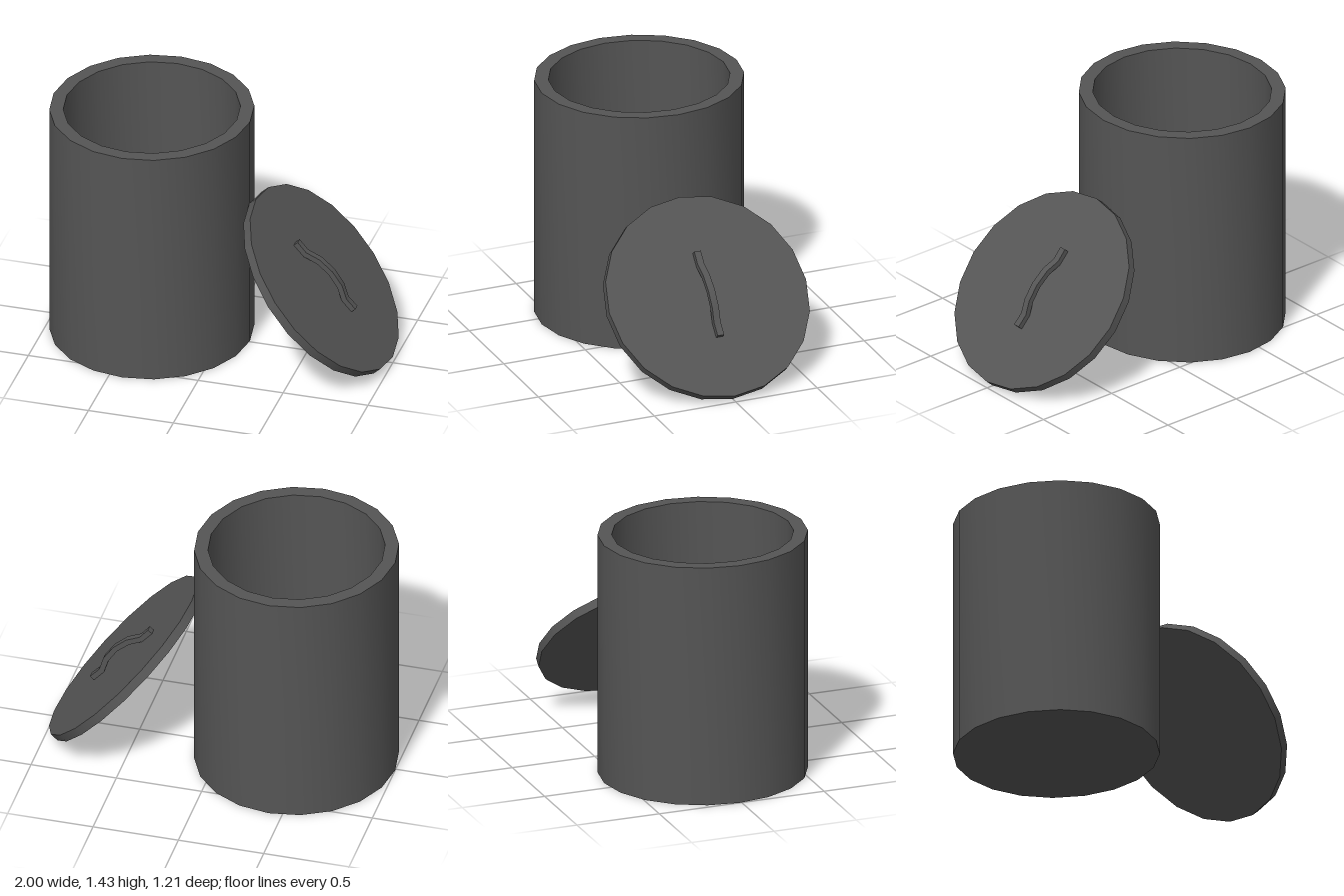
import * as THREE from 'three';
import { toCreasedNormals } from 'three/addons/utils/BufferGeometryUtils.js';

export function createModel() {
  const model = new THREE.Group();
  model.name = 'canisterWithLid';
  const darkGrey = new THREE.MeshStandardMaterial({ color: 0x555555 });
  darkGrey.name = 'darkGrey';

  function add(parent, name, geometry) {
    const mesh = new THREE.Mesh(geometry, darkGrey);
    mesh.name = name;
    parent.add(mesh);
    return mesh;
  }

  // Hollow 20-sided body with a thick wall and floor
  const outer = 0.578, inner = 0.5, height = 1.43, floor = 0.08;
  const profile = [
    [0, 0], [outer, 0], [outer, height], [inner, height], [inner, floor], [0, floor],
  ].map(([x, y]) => new THREE.Vector2(x, y));
  const bodyGeometry = new THREE.LatheGeometry(profile, 20).scale(1, 1, 1.035);
  const body = add(model, 'body', toCreasedNormals(bodyGeometry, 0.6));
  body.position.set(-0.422, 0, -0.01);

  // Lid leaning against the body
  const lid = new THREE.Group();
  lid.name = 'lid';
  lid.position.set(0.578, 0.471, 0.002);
  lid.rotation.z = -0.841;
  model.add(lid);
  add(lid, 'lidDisc', new THREE.CylinderGeometry(0.604, 0.604, 0.053, 20));

  // Arched strap handle with flat feet, mirrored about its middle
  const topHalf = [[0.255, 0.058], [0.178, 0.056], [0.1, 0.092]];
  const underHalf = [[0.255, 0.025], [0.17, 0.025], [0.09, 0.061]];
  const mirror = (half) => half.map(([x, y]) => [-x, y]);
  const outline = [
    ...topHalf, [0, 0.105], ...mirror(topHalf).reverse(),
    ...mirror(underHalf), [0, 0.074], ...underHalf.slice().reverse(),
  ].map(([x, y]) => new THREE.Vector2(x, y));
  const strap = new THREE.ExtrudeGeometry(new THREE.Shape(outline), { depth: 0.04, bevelEnabled: false });
  const handle = add(lid, 'handle', toCreasedNormals(strap.translate(0, 0, -0.022), 0.6));
  handle.position.x = -0.008;

  return model;
}
